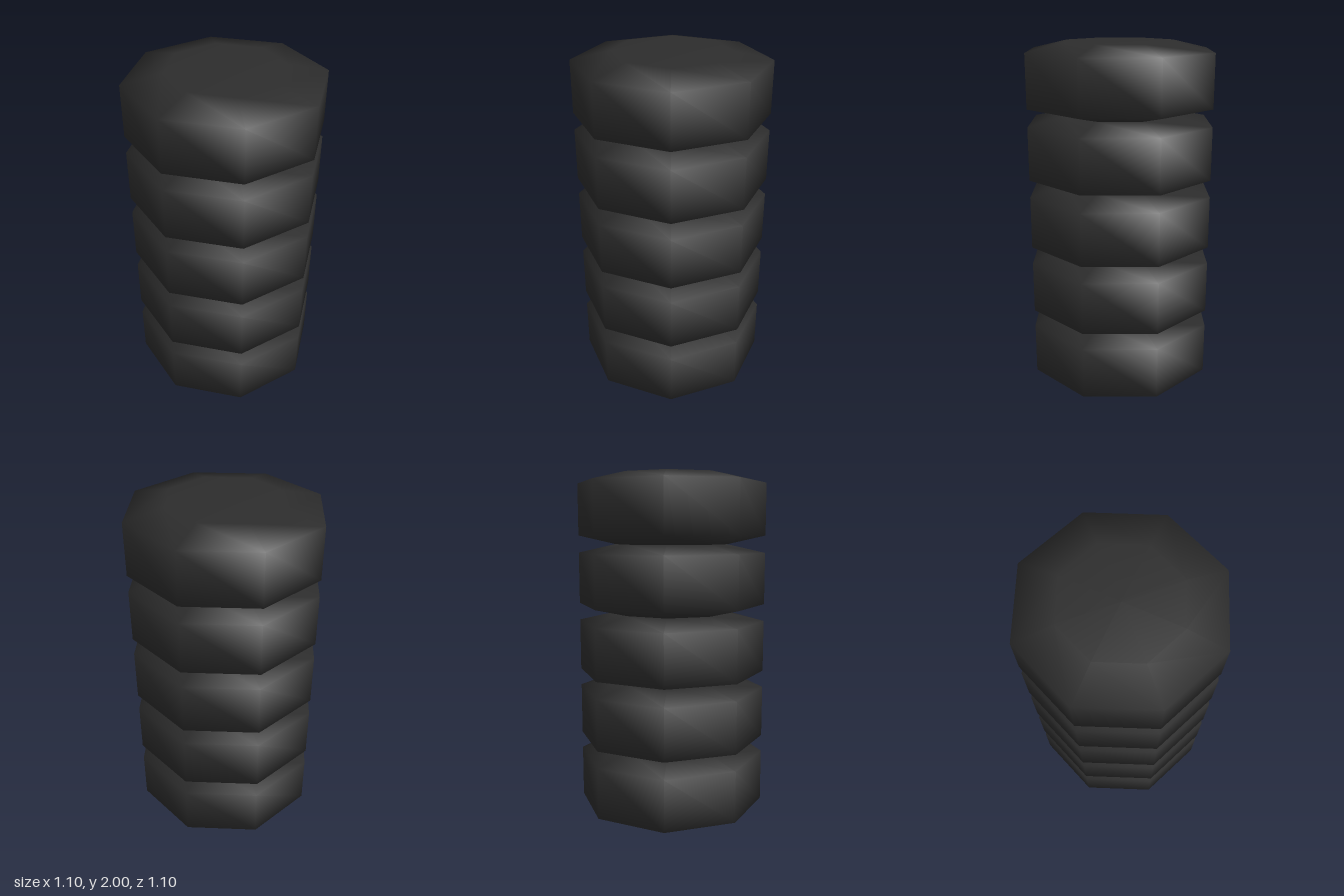
import * as THREE from 'three';

export function createModel() {
  const group = new THREE.Group();
  group.name = 'tyreStack';

  const rubber = new THREE.MeshStandardMaterial({ color: 0x2d2d2d });
  rubber.name = 'black rubber';

  // One eight-sided tyre: closed faces, sloping shoulders, upright tread
  const height = 0.4;
  const profile = [
    [0, 0], [0.33, 0], [0.55, 0.05],
    [0.55, 0.35], [0.33, height], [0, height],
  ].map(([r, y]) => new THREE.Vector2(r, y));
  const tyreGeometry = new THREE.LatheGeometry(profile, 8);

  // Five identical tyres, stacked
  for (let i = 0; i < 5; i++) {
    const tyre = new THREE.Mesh(tyreGeometry, rubber);
    tyre.name = `tyre${i + 1}`;
    tyre.position.y = i * height;
    group.add(tyre);
  }
  return group;
}
